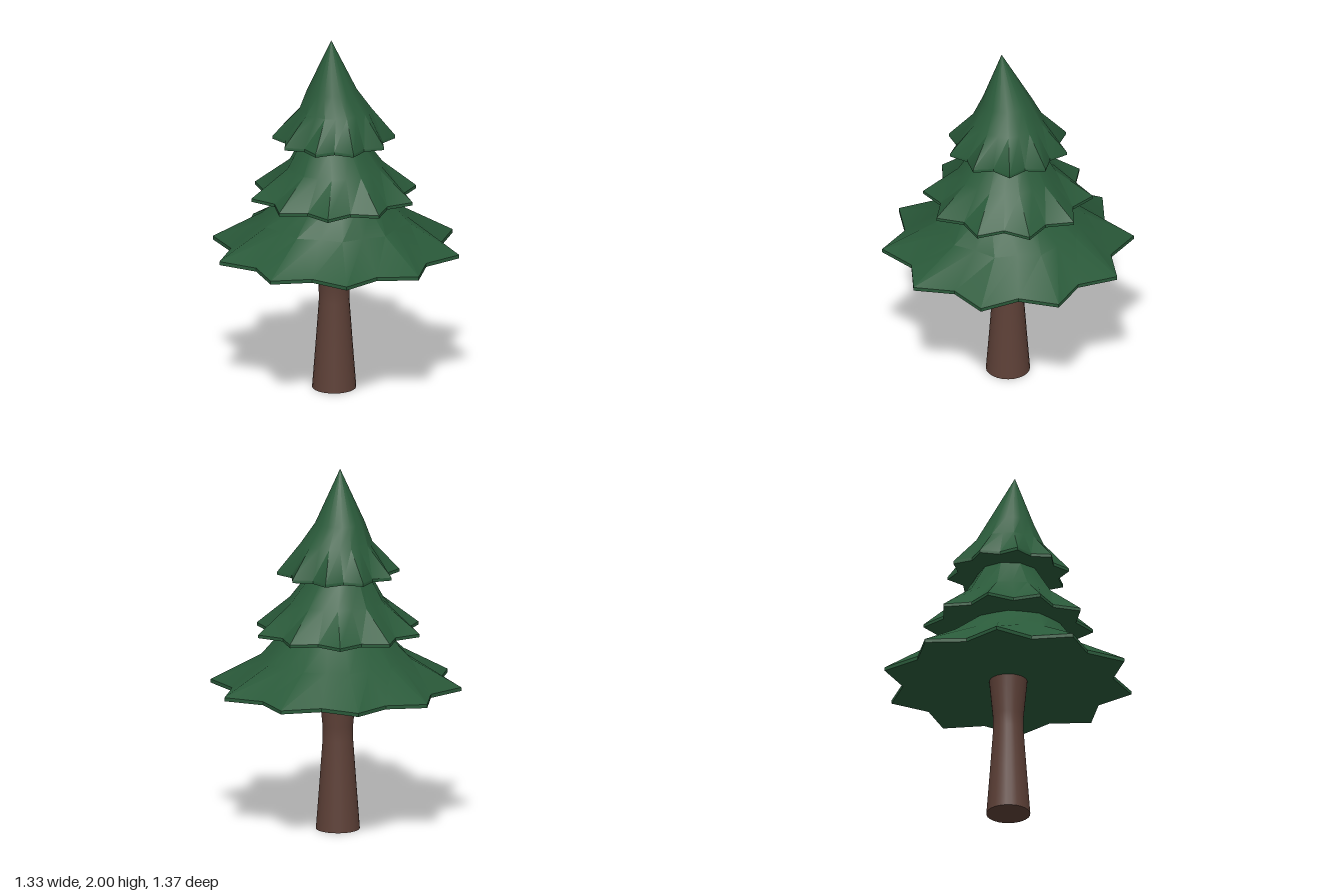
import * as THREE from 'three';
import { toCreasedNormals } from 'three/addons/utils/BufferGeometryUtils.js';

const POINTS = 10; // star points on each tier
const SIDES = POINTS * 2;

// One branch tier: rings of [y, tip radius, valley radius, centre x, centre z],
// closed by a flat underside and an apex.
function tierGeometry(rings, apex, turn) {
  const pos = [];
  const index = [];
  for (const [y, tip, valley, cx, cz] of rings) {
    for (let i = 0; i < SIDES; i++) {
      const a = turn + (i / SIDES) * Math.PI * 2;
      const r = i % 2 ? valley : tip;
      pos.push(cx + r * Math.cos(a), y, cz + r * Math.sin(a));
    }
  }
  const base = pos.length / 3;
  const top = base + 1;
  pos.push(rings[0][3], rings[0][0], rings[0][4], ...apex);
  const last = (rings.length - 1) * SIDES;
  for (let i = 0; i < SIDES; i++) {
    const j = (i + 1) % SIDES;
    index.push(base, i, j);
    for (let k = 0; k < last; k += SIDES) {
      const lo = k, hi = k + SIDES;
      index.push(lo + i, hi + i, lo + j, lo + j, hi + i, hi + j);
    }
    index.push(last + i, top, last + j);
  }
  const geo = new THREE.BufferGeometry();
  geo.setAttribute('position', new THREE.Float32BufferAttribute(pos, 3));
  geo.setIndex(index);
  return toCreasedNormals(geo, 0.6);
}

export function createModel() {
  const tree = new THREE.Group();
  tree.name = 'pineTree';
  const green = new THREE.MeshStandardMaterial({ color: 0x2a5a3a });
  const brown = new THREE.MeshStandardMaterial({ color: 0x5d4037 });
  const add = (name, geo, mat) => {
    const mesh = new THREE.Mesh(geo, mat);
    mesh.name = name;
    tree.add(mesh);
    return mesh;
  };

  // Trunk, waisted below the branches
  const profile = [[0.12, 0], [0.101, 0.25], [0.083, 0.5], [0.084, 0.58], [0.105, 0.8]]
    .map(([r, y]) => new THREE.Vector2(r, y));
  add('trunk', new THREE.LatheGeometry(profile, 24), brown).position.x = -0.01;
  const foot = add('trunkBase', new THREE.CircleGeometry(0.12, 24), brown);
  foot.rotation.x = Math.PI / 2;
  foot.position.x = -0.01;

  // Branch tiers, bottom to top
  const deg = Math.PI / 180;
  add('lowerBranches', tierGeometry([
    [0.79, 0.686, 0.572, 0, 0],
    [0.81, 0.686, 0.572, 0, 0],
    [0.965, 0.41, 0.38, 0, -0.015],
    [1.1, 0.275, 0.265, 0.005, 0.03],
  ], [0, 1.4, 0.02], -94.1 * deg), green);
  add('middleBranches', tierGeometry([
    [1.1, 0.461, 0.378, -0.012, 0],
    [1.117, 0.461, 0.378, -0.012, 0],
    [1.275, 0.265, 0.25, -0.005, 0.005],
    [1.42, 0.17, 0.16, -0.02, 0],
  ], [-0.02, 1.68, 0], -85.3 * deg), green);
  add('upperBranches', tierGeometry([
    [1.425, 0.333, 0.276, -0.012, 0],
    [1.442, 0.333, 0.276, -0.012, 0],
    [1.6, 0.195, 0.185, -0.003, 0.002],
    [1.71, 0.135, 0.13, -0.022, 0.006],
  ], [-0.026, 2, 0.034], 0), green);

  return tree;
}
